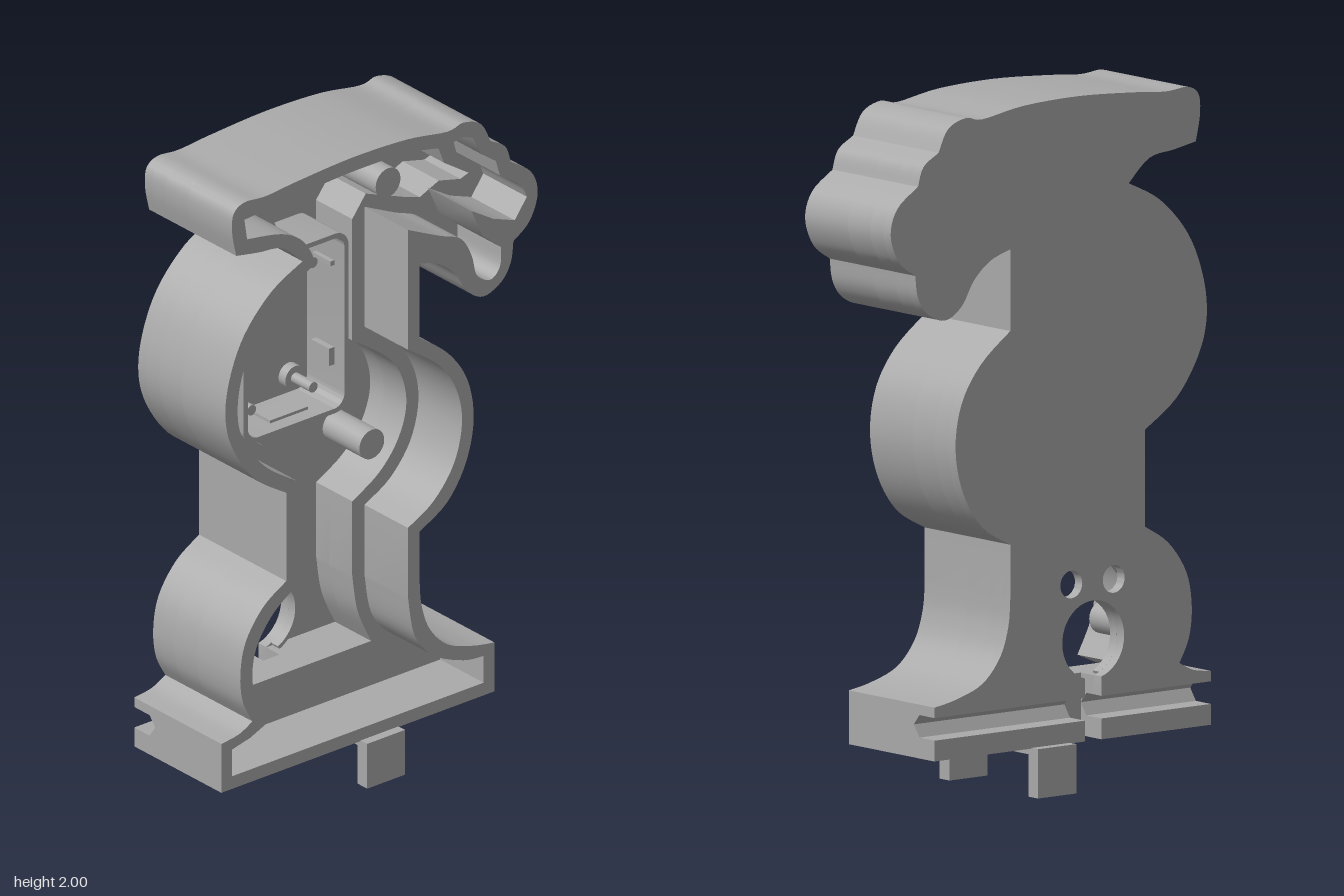
import * as THREE from 'three';
import { toCreasedNormals } from 'three/addons/utils/BufferGeometryUtils.js';

const grey = new THREE.MeshStandardMaterial({ color: 0xaaaaaa });
grey.name = 'grey plastic';

// A contour is a list of spans; each span is a smooth curve, joined at corners.
const contour = (spans) => spans.flatMap((span) => {
  const pts = span.map(([x, y]) => new THREE.Vector2(x, y));
  return pts.length < 3 ? pts : new THREE.SplineCurve(pts).getPoints((pts.length - 1) * 5);
});
const line = (...pts) => pts.map(([x, y]) => new THREE.Vector2(x, y));

// Outer silhouette above the base, from right base corner round to the left one
const outer = contour([
  [[0.425, 0.295], [0.345, 0.31], [0.25, 0.345], [0.185, 0.415], [0.155, 0.5], [0.148, 0.58]],
  [[0.148, 0.735], [0.25, 0.795], [0.32, 0.9], [0.348, 1.03], [0.325, 1.16], [0.255, 1.265], [0.148, 1.35]],
  [[0.148, 1.585], [0.22, 1.56], [0.28, 1.51], [0.325, 1.44], [0.385, 1.405], [0.45, 1.43], [0.485, 1.48], [0.495, 1.545]],
  [[0.495, 1.545], [0.555, 1.59], [0.585, 1.67], [0.56, 1.745], [0.485, 1.8]],
  [[0.485, 1.8], [0.465, 1.855], [0.41, 1.89]],
  [[0.41, 1.89], [0.375, 1.955], [0.31, 1.98], [0.25, 1.97], [0.1, 1.993], [-0.1, 2], [-0.3, 1.99], [-0.42, 1.98],
    [-0.5, 1.985], [-0.54, 1.96], [-0.545, 1.9], [-0.53, 1.825]],
  [[-0.53, 1.825], [-0.45, 1.81], [-0.36, 1.795], [-0.285, 1.73]],
  [[-0.285, 1.73], [-0.4, 1.67], [-0.5, 1.565], [-0.555, 1.44], [-0.57, 1.32], [-0.54, 1.21], [-0.46, 1.095], [-0.345, 1.015]],
  [[-0.345, 0.735], [-0.43, 0.68], [-0.495, 0.59], [-0.515, 0.49], [-0.505, 0.4], [-0.47, 0.33]],
  [[-0.47, 0.33], [-0.52, 0.305], [-0.585, 0.295]],
]);
// Inside of the front wall
const frontInner = contour([
  [[-0.545, 0.18], [0.385, 0.18]],
  [[0.385, 0.265], [0.31, 0.275], [0.2, 0.325], [0.13, 0.41], [0.105, 0.54]],
  [[0.105, 0.76], [0.2, 0.815], [0.275, 0.91], [0.305, 1.03], [0.285, 1.14], [0.22, 1.24], [0.105, 1.325]],
  [[0.105, 1.705], [0.22, 1.65], [0.3, 1.615], [0.34, 1.55], [0.36, 1.48], [0.41, 1.45], [0.445, 1.48], [0.45, 1.54]],
  [[0.38, 1.6], [0.34, 1.69]],
  [[0.42, 1.64], [0.5, 1.61]],
  [[0.545, 1.67], [0.52, 1.715], [0.445, 1.77]],
  [[0.43, 1.82], [0.375, 1.86]],
  [[0.345, 1.92], [0.3, 1.935], [0.24, 1.925], [0.1, 1.95], [-0.1, 1.955], [-0.3, 1.945], [-0.5, 1.93]],
  [[-0.49, 1.865], [-0.36, 1.84], [-0.28, 1.79], [-0.235, 1.71]],
  [[-0.235, 1.71], [-0.37, 1.63], [-0.46, 1.54], [-0.51, 1.43], [-0.525, 1.32], [-0.5, 1.225], [-0.42, 1.12], [-0.305, 1.04]],
  [[-0.305, 0.71], [-0.39, 0.65], [-0.45, 0.57], [-0.47, 0.49], [-0.46, 0.41], [-0.41, 0.31]],
  [[-0.48, 0.28], [-0.545, 0.265]],
]);
// Inside of the thicker rear wall
const rearInner = contour([
  [[0.13, 0.32], [0.08, 0.43], [0.06, 0.55]],
  [[0.06, 0.785], [0.16, 0.845], [0.23, 0.93], [0.26, 1.03], [0.24, 1.13], [0.18, 1.21], [0.06, 1.295]],
  [[0.06, 1.68], [0.11, 1.745]],
  [[0.25, 1.69], [0.31, 1.67]],
  [[0.38, 1.7], [0.46, 1.68]],
  [[0.49, 1.69], [0.4, 1.75]],
  [[0.38, 1.8], [0.325, 1.84]],
  [[0.28, 1.885], [0.1, 1.905], [-0.1, 1.91], [-0.3, 1.9], [-0.46, 1.89]],
  [[-0.33, 1.86], [-0.245, 1.79], [-0.2, 1.69]],
  [[-0.2, 1.69], [-0.34, 1.59], [-0.43, 1.5], [-0.47, 1.41], [-0.48, 1.32], [-0.455, 1.24], [-0.38, 1.15], [-0.26, 1.06]],
  [[-0.26, 0.69], [-0.35, 0.62], [-0.41, 0.55], [-0.425, 0.48], [-0.41, 0.4], [-0.36, 0.32]],
]);

const circle = (x, y, r) => new THREE.Path().absarc(x, y, r, 0, Math.PI * 2);

function roundedRect(Type, x0, y0, x1, y1, r) {
  const p = new Type();
  p.absarc(x1 - r, y0 + r, r, -Math.PI / 2, 0);
  p.absarc(x1 - r, y1 - r, r, 0, Math.PI / 2);
  p.absarc(x0 + r, y1 - r, r, Math.PI / 2, Math.PI);
  p.absarc(x0 + r, y0 + r, r, Math.PI, Math.PI * 1.5);
  p.closePath();
  return p;
}

export function createModel() {
  const model = new THREE.Group();
  model.name = 'caseHalf';

  const add = (name, geometry, x = 0, y = 0, z = 0) => {
    const mesh = new THREE.Mesh(geometry, grey);
    mesh.name = name;
    mesh.position.set(x, y, z);
    model.add(mesh);
    return mesh;
  };
  const slab = (name, shape, holes, z0, z1) => {
    shape.holes.push(...holes);
    const g = new THREE.ExtrudeGeometry(shape, { depth: z1 - z0, bevelEnabled: false, curveSegments: 16 });
    return add(name, toCreasedNormals(g, 0.5), 0, 0, z0);
  };
  const box = (name, x0, x1, y0, y1, z0, z1) =>
    add(name, new THREE.BoxGeometry(x1 - x0, y1 - y0, z1 - z0), (x0 + x1) / 2, (y0 + y1) / 2, (z0 + z1) / 2);
  const rod = (name, x, y, r, z0, z1) => {
    const g = new THREE.CylinderGeometry(r, r, z1 - z0, 24).rotateX(Math.PI / 2);
    return add(name, g, x, y, (z0 + z1) / 2);
  };

  // Silhouette walls: full height at the front, cut at the groove behind
  const full = () => new THREE.Shape([...line([-0.585, 0.14], [0.425, 0.14]), ...outer]);
  const slotted = (inner) => new THREE.Shape([
    ...outer,
    ...line([-0.585, 0.265], [-0.185, 0.265], [-0.185, 0.32]),
    ...inner,
    ...line([-0.125, 0.32], [-0.125, 0.265], [0.425, 0.265]),
  ]);
  slab('frontWall', full(), [new THREE.Path(frontInner)], 0, 0.193);
  slab('steppedWall', full(), [new THREE.Path(rearInner)], -0.1, 0);
  slab('rearWall', slotted([...rearInner].reverse()), [], -0.16, -0.1);

  // Back plate with the large port open to the cable slot, and two small holes
  const port = [];
  for (let i = 0; i <= 40; i++) {
    const a = -Math.PI / 2 - 0.27 - (i / 40) * (Math.PI * 2 - 0.54);
    port.push(new THREE.Vector2(-0.155 + 0.113 * Math.cos(a), 0.43 + 0.113 * Math.sin(a)));
  }
  slab('backPlate', slotted(port), [circle(-0.23, 0.597, 0.04), circle(-0.075, 0.597, 0.04)], -0.193, -0.16);

  // Raised lip round the port
  const lip = new THREE.Shape();
  lip.absarc(-0.155, 0.43, 0.125, -Math.PI / 2 + 0.45, Math.PI * 1.5 - 0.45);
  lip.absarc(-0.155, 0.43, 0.113, Math.PI * 1.5 - 0.45, -Math.PI / 2 + 0.45, true);
  slab('portLip', lip, [], -0.16, -0.13);

  // Rear of the base: V-bottomed groove along x, broken by the cable slot
  const lower = line([0.193, 0.14], [0.193, 0.2], [0.125, 0.2], [0.1, 0.235], [0.1, 0.14]);
  const upper = line([0.125, 0.265], [0.1, 0.265], [0.1, 0.235]);
  for (const [x0, x1] of [[-0.585, -0.185], [-0.125, 0.425]]) {
    for (const [name, profile] of [['grooveLowerLip', lower], ['grooveUpperLip', upper]]) {
      const g = new THREE.ExtrudeGeometry(new THREE.Shape(profile), { depth: x1 - x0, bevelEnabled: false });
      add(name, g.rotateY(Math.PI / 2), x0, 0, 0);
    }
  }

  // Bracket under the base
  box('bracketBar', -0.07, 0.07, 0.122, 0.142, -0.18, 0.18);
  box('bracketFrontLeg', -0.07, 0.07, 0, 0.142, 0.178, 0.222);
  box('bracketBackLeg', -0.07, 0.07, 0, 0.142, -0.222, -0.178);

  // Electronics tray with clips, posts and pins
  slab('trayWall', roundedRect(THREE.Shape, -0.347, 1.088, 0.042, 1.657, 0.05),
    [roundedRect(THREE.Path, -0.33, 1.103, 0.027, 1.642, 0.038)], -0.16, 0.005);
  box('trayLeftRail', -0.332, -0.315, 1.23, 1.53, -0.12, -0.04);
  box('trayRightClip', 0.008, 0.03, 1.215, 1.27, -0.12, -0.04);
  box('trayRightStop', 0.013, 0.03, 1.53, 1.545, -0.12, -0.04);
  box('trayTopClip', -0.21, -0.07, 1.63, 1.648, -0.12, -0.04);
  box('trayBottomClip', -0.21, -0.07, 1.098, 1.112, -0.12, -0.04);
  for (const x of [-0.27, -0.042]) {
    for (const y of [1.16, 1.555]) {
      rod('trayPost', x, y, 0.037, -0.165, -0.13);
      rod('trayPin', x, y, 0.016, -0.14, -0.05);
    }
  }

  // Joining pegs
  for (const [x, y] of [[0.19, 1.755], [0.13, 0.945], [-0.345, 0.45]]) rod('joiningPeg', x, y, 0.046, -0.165, 0.003);

  return model;
}
